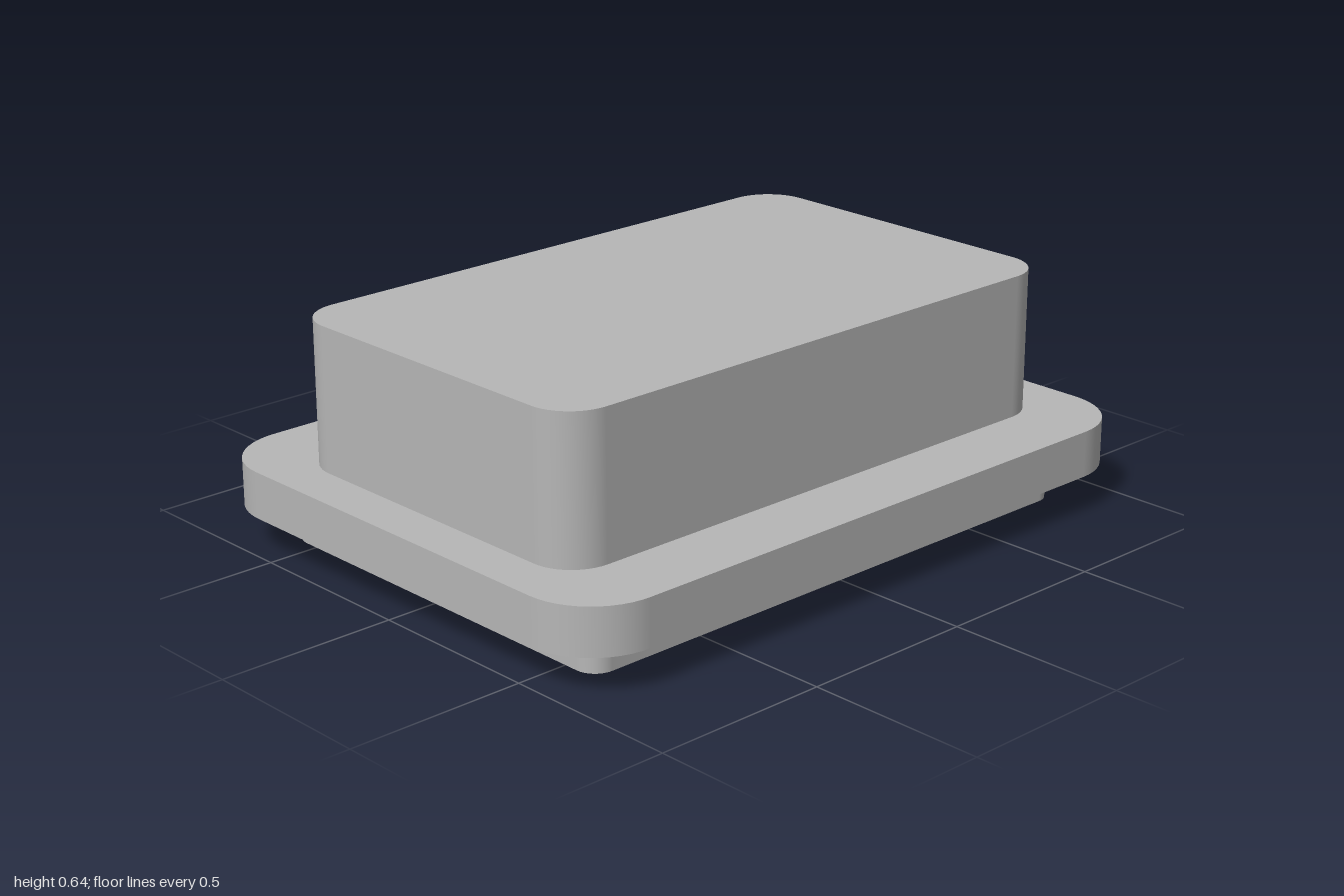
import * as THREE from 'three';

const SEG = 12;                      // segments per rounded corner
const BORE = { r: 0.082, x: -0.58, y: 0.324, z: 0.078, n: 48 };

// Rounded rectangle as [x, z, normalX, normalZ], starting at the +x side
function outline({ w, d, r }) {
  const pts = [];
  [[1, 1], [-1, 1], [-1, -1], [1, -1]].forEach(([sx, sz], q) => {
    for (let i = 0; i <= SEG; i++) {
      const a = (q + i / SEG) * Math.PI / 2;
      const c = Math.cos(a), s = Math.sin(a);
      pts.push([sx * (w - r) + r * c, sz * (d - r) + r * s, c, s]);
    }
  });
  return pts;
}

// Surface between two rows of points; the normals decide which way it faces
function loft(a, b, normals) {
  const pos = [], nor = [], index = [];
  a.forEach((p, i) => {
    pos.push(...p, ...b[i]);
    nor.push(...normals[i], ...normals[i]);
  });
  const v = (p) => new THREE.Vector3(...p);
  for (let i = 0; i < a.length - 1; i++) {
    const k = 2 * i;
    const cross = v(b[i + 1]).sub(v(a[i])).cross(v(b[i]).sub(v(a[i + 1])));
    const mid = v(normals[i]).add(v(normals[i + 1]));
    if (cross.dot(mid) > 0) index.push(k, k + 2, k + 3, k, k + 3, k + 1);
    else index.push(k, k + 3, k + 2, k, k + 1, k + 3);
  }
  const g = new THREE.BufferGeometry();
  g.setAttribute('position', new THREE.Float32BufferAttribute(pos, 3));
  g.setAttribute('normal', new THREE.Float32BufferAttribute(nor, 3));
  g.setIndex(index);
  return g;
}

// Upright wall around a rounded rectangle, optionally without its +x flat
function wall(size, y0, y1, openSide = false) {
  const pts = outline(size);
  if (!openSide) pts.push(pts[0]);
  return loft(pts.map(p => [p[0], y0, p[1]]), pts.map(p => [p[0], y1, p[1]]),
    pts.map(p => [p[2], 0, p[3]]));
}

const circle = (cx, cy) => Array.from({ length: BORE.n }, (_, i) => {
  const a = i / BORE.n * Math.PI * 2;
  return new THREE.Vector2(cx + BORE.r * Math.cos(a), cy + BORE.r * Math.sin(a));
});

function face(points, hole) {
  const s = new THREE.Shape(points);
  if (hole) s.holes.push(new THREE.Path(hole));
  return new THREE.ShapeGeometry(s);
}

// Level face looking up (dir 1) or down (dir -1)
function level(points, y, dir, hole) {
  return face(points, hole).rotateX(-dir * Math.PI / 2).translate(0, y, 0);
}
const flat = (size) => outline(size).map(p => new THREE.Vector2(p[0], p[1]));

export function createModel() {
  const model = new THREE.Group();
  model.name = 'flangedHousing';
  const grey = new THREE.MeshStandardMaterial({ color: 0xb6b6b6 });
  grey.name = 'plainGrey';

  function part(name, surfaces) {
    const group = new THREE.Group();
    group.name = name;
    for (const [key, geometry] of Object.entries(surfaces)) {
      const mesh = new THREE.Mesh(geometry, grey);
      mesh.name = key;
      group.add(mesh);
    }
    model.add(group);
  }

  const lip = { w: 0.853, d: 0.602, r: 0.06 };
  const plate = { w: 1, d: 0.745, r: 0.2 };
  const box = { w: 0.868, d: 0.533, r: 0.125 };
  const yLip = 0.11, yPlate = 0.241, yTop = 0.644;

  // Lower lip with the inlet of the bore
  part('baseLip', {
    lipWall: wall(lip, 0, yLip),
    lipBottom: level(flat(lip), 0, -1, circle(BORE.x, BORE.z)),
  });

  // Wide flange
  part('flange', {
    flangeWall: wall(plate, yLip, yPlate),
    flangeUnderside: level(flat(plate), yLip, -1, flat(lip)),
    flangeTop: level(flat(plate), yPlate, 1, flat(box)),
  });

  // Upper block, its +x flat pierced by the outlet
  const half = box.d - box.r;
  const panel = [[-half, yPlate], [half, yPlate], [half, yTop], [-half, yTop]]
    .map(p => new THREE.Vector2(...p));
  part('housing', {
    housingWall: wall(box, yPlate, yTop, true),
    housingTop: level(flat(box), yTop, 1),
    outletPanel: face(panel, circle(-BORE.z, BORE.y)).rotateY(Math.PI / 2).translate(box.w, 0, 0),
  });

  // L-shaped bore: vertical shaft meeting a horizontal one
  const { r, x, y, z, n } = BORE;
  const ring = Array.from({ length: n + 1 }, (_, i) => {
    const a = i / n * Math.PI * 2;
    return [Math.cos(a), Math.sin(a)];
  });
  const shaft = (h) => ring.map(([c, s]) => [x + r * c, h(c), z + r * s]);
  const inward = ring.map(([c, s]) => [-c, 0, -s]);
  part('bore', {
    verticalShaft: loft(shaft(() => 0), shaft(c => y - r * c), inward),
    shaftHead: loft(shaft(c => y + (c > 0 ? r * c : -r * c)), shaft(() => y + r), inward),
    shaftBack: loft(shaft(c => y - r * c), shaft(c => (c > 0 ? y - r * c : y - r * c + 1e-5)), inward),
    shaftEnd: level(circle(x, z), y + r, -1),
    horizontalShaft: loft(
      ring.map(([c, s]) => [box.w, y + r * s, z + r * c]),
      ring.map(([c, s]) => [x + r * Math.abs(s), y + r * s, z + r * c]),
      ring.map(([c, s]) => [0, -s, -c])),
  });

  return model;
}
